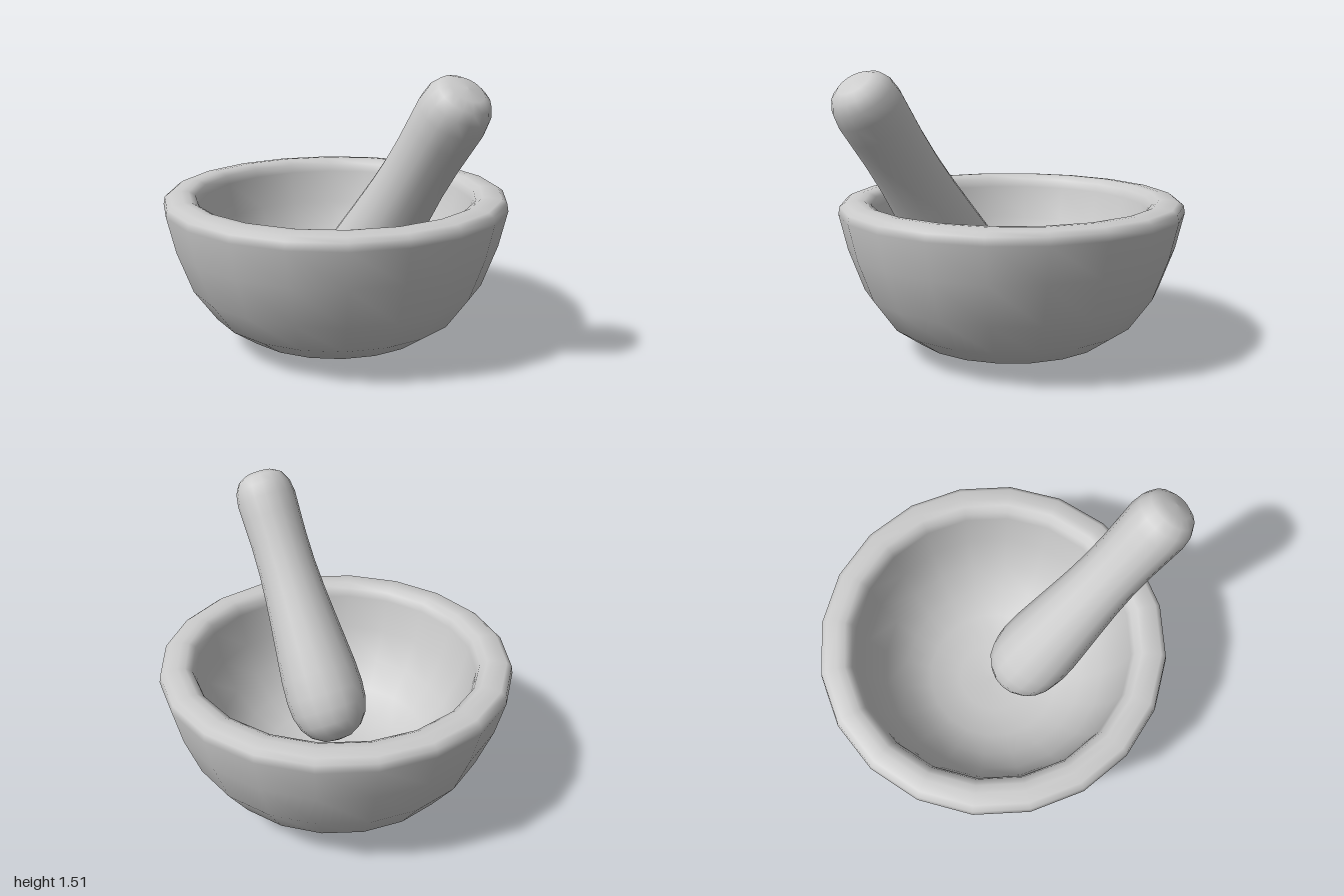
import * as THREE from 'three';

// Smooth turned body from [radius, height] pairs, listed up the outside
function turned(name, profile, sides) {
  const points = profile.map(([r, y]) => new THREE.Vector2(r, y));
  const mesh = new THREE.Mesh(
    new THREE.LatheGeometry(points, sides),
    new THREE.MeshStandardMaterial({ color: 0xcccccc })
  );
  mesh.name = name;
  return mesh;
}

export function createModel() {
  const group = new THREE.Group();
  group.name = 'mortarAndPestle';

  // Bowl: outside wall, rounded rim, then hollow inside
  const bowl = turned('bowl', [
    [0, 0], [0.19, 0.003], [0.37, 0.02], [0.53, 0.08], [0.67, 0.18],
    [0.79, 0.35], [0.87, 0.57], [0.914, 0.76], [0.907, 0.8], [0.88, 0.82],
    [0.82, 0.828], [0.78, 0.825], [0.745, 0.805], [0.73, 0.76],
    [0.69, 0.58], [0.61, 0.41], [0.5, 0.28], [0.37, 0.195], [0.2, 0.15], [0, 0.14]
  ], 20);
  bowl.position.x = -0.083;
  group.add(bowl);

  // Pestle: heavy rounded grinding end, narrower handle with a blunt tip
  const pestle = turned('pestle', [
    [0, 0], [0.08, 0.012], [0.145, 0.05], [0.19, 0.11], [0.215, 0.19],
    [0.222, 0.28], [0.217, 0.4], [0.203, 0.54], [0.187, 0.7], [0.172, 0.86],
    [0.162, 1.02], [0.16, 1.18], [0.164, 1.32], [0.167, 1.42], [0.157, 1.49],
    [0.13, 1.54], [0.085, 1.568], [0, 1.575]
  ], 16);
  pestle.position.set(-0.017, 0.184, 0.062);
  pestle.rotation.z = -Math.atan2(0.58, 0.815);
  group.add(pestle);

  return group;
}
